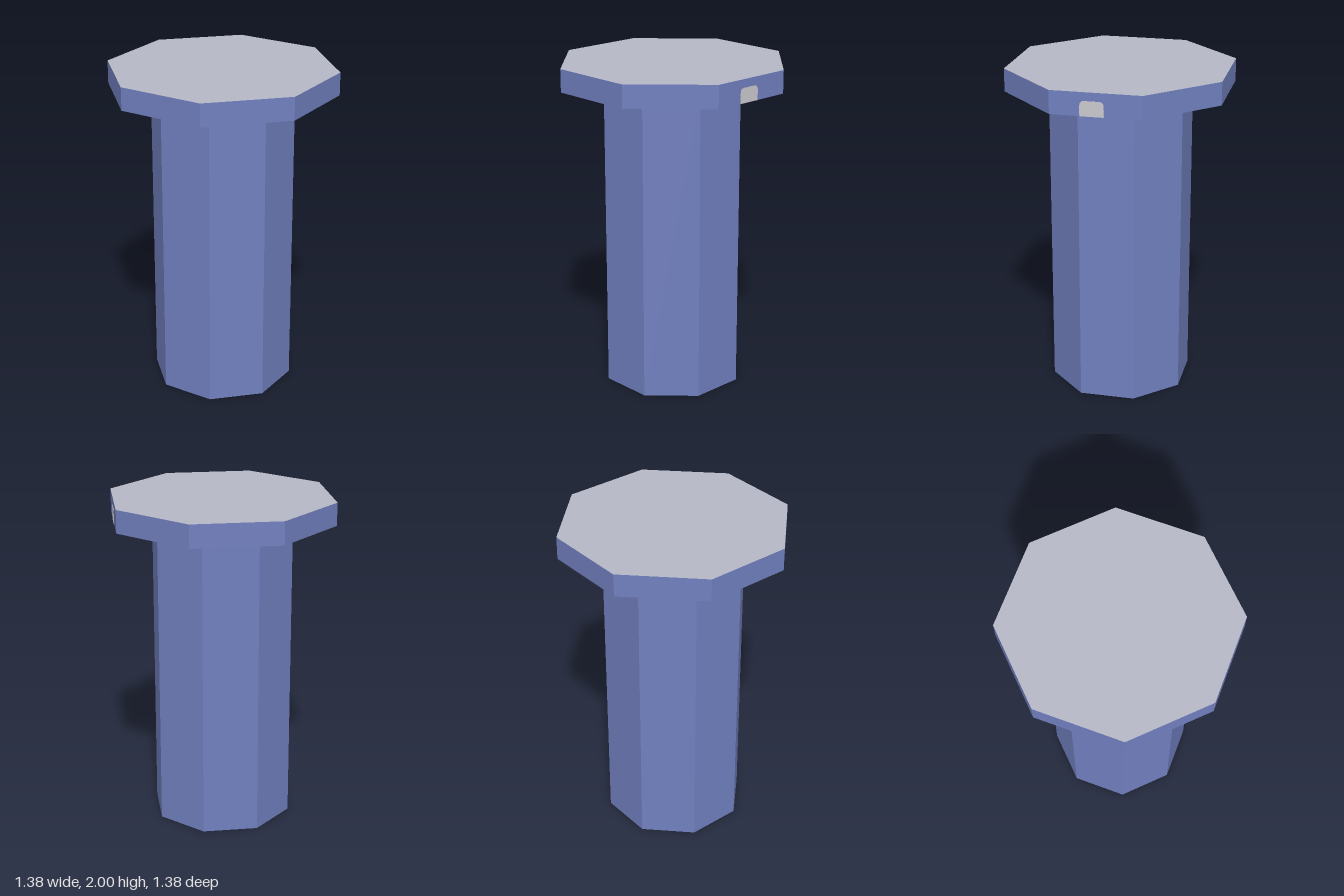
import * as THREE from 'three';

export function createModel() {
  const model = new THREE.Group();
  const blue = new THREE.MeshStandardMaterial({ name: 'slate blue', color: 0x7180bf, flatShading: true });
  const grey = new THREE.MeshStandardMaterial({ name: 'pale grey', color: 0xb6b8c6, flatShading: true });
  const light = new THREE.MeshStandardMaterial({ name: 'light grey', color: 0xcbcbd0, flatShading: true });

  const SIDES = 8, HEIGHT = 2, HEAD_RADIUS = 0.692, HEAD_BASE = 1.862;

  // Upright octagonal prism with corners on the x and z axes
  function prism(name, radius, bottom, top, materials) {
    const geometry = new THREE.CylinderGeometry(radius, radius, top - bottom, SIDES);
    const mesh = new THREE.Mesh(geometry, materials);
    mesh.name = name;
    mesh.position.y = (bottom + top) / 2;
    model.add(mesh);
  }
  prism('shaft', 0.432, 0, HEAD_BASE, blue);
  prism('head', HEAD_RADIUS, HEAD_BASE, HEIGHT, [blue, grey, blue]); // side, top, underside

  // Small arched notch mark on the front left face of the head
  const w = 0.069, h = 0.088, r = 0.028;
  const arch = new THREE.Shape();
  arch.moveTo(-w, 0);
  arch.lineTo(w, 0);
  arch.lineTo(w, h - r);
  arch.quadraticCurveTo(w, h, w - r, h);
  arch.lineTo(-w + r, h);
  arch.quadraticCurveTo(-w, h, -w, h - r);
  arch.closePath();
  const plate = new THREE.ExtrudeGeometry(arch, { depth: 0.003, bevelEnabled: false, curveSegments: 4 });
  plate.translate(-0.022, HEAD_BASE, HEAD_RADIUS * Math.cos(Math.PI / SIDES) - 0.001);
  const mark = new THREE.Mesh(plate, light);
  mark.name = 'notchMark';
  mark.rotation.y = Math.PI * 3 / 8;
  model.add(mark);

  return model;
}
